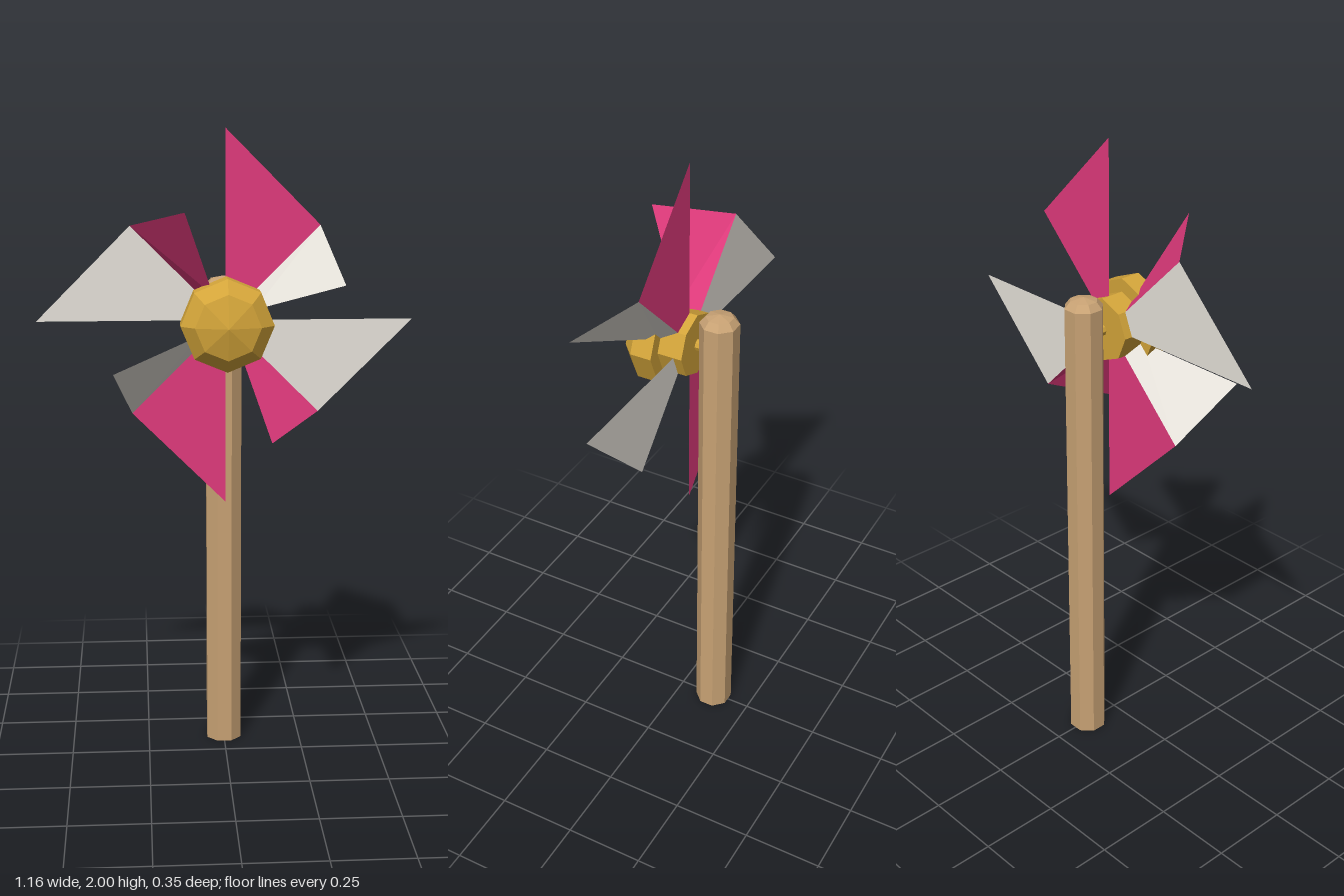
import * as THREE from 'three';

const paint = (color, side = THREE.FrontSide) =>
  new THREE.MeshStandardMaterial({ color, flatShading: true, side });

// Eight-sided turned part; profile is [radius, height] from bottom to top
function turned(name, profile, material) {
  const points = profile.map(([r, h]) => new THREE.Vector2(r, h));
  const mesh = new THREE.Mesh(new THREE.LatheGeometry(points, 8), material);
  mesh.name = name;
  return mesh;
}

// Thin sheet made of a few triangles
function sheet(name, triangles, material) {
  const geometry = new THREE.BufferGeometry();
  geometry.setAttribute('position', new THREE.Float32BufferAttribute(triangles.flat(2), 3));
  geometry.computeVertexNormals();
  const mesh = new THREE.Mesh(geometry, material);
  mesh.name = name;
  return mesh;
}

export function createModel() {
  const model = new THREE.Group();
  model.name = 'pinwheel';
  const wood = paint(0xc8a274);
  const gold = paint(0xd4a53a);
  const pink = paint(0xe03a7c, THREE.DoubleSide);
  const white = paint(0xe6e2da, THREE.DoubleSide);

  // Stick with a shallow domed top
  const stick = turned('stick',
    [[0, 0], [0.06, 0], [0.06, 1.515], [0.042, 1.536], [0, 1.545]], wood);
  stick.rotation.y = Math.PI / 8;
  stick.position.z = -0.12;
  model.add(stick);

  const wheel = new THREE.Group();
  wheel.name = 'wheel';
  wheel.position.y = 1.42;
  model.add(wheel);

  // Hub parts turned around the z axis
  const hub = new THREE.Group();
  hub.name = 'hub';
  hub.rotation.x = Math.PI / 2;
  hub.add(
    turned('axle', [[0, -0.12], [0.018, -0.12], [0.018, 0], [0, 0]], gold),
    turned('hubBack', [[0, -0.047], [0.1, -0.047], [0.1, 0.04], [0, 0.04]], gold),
    turned('hubCap',
      [[0, 0.032], [0.142, 0.032], [0.142, 0.1], [0.1, 0.14], [0, 0.165]], gold),
  );
  wheel.add(hub);

  // Four folded paper vanes: a flat blade and a curled flap showing the other colour
  const centre = [0, 0, -0.02];
  const point = [0, 0.58, -0.02];
  const corner = [0.29, 0.29, -0.02];
  const tip = [0.345, 0.13, 0.177];
  const fold = [0.085, 0.04, 0.04];
  for (let i = 0; i < 4; i++) {
    const vane = new THREE.Group();
    vane.name = 'vane';
    vane.rotation.z = -i * Math.PI / 2;
    const [front, back] = i % 2 ? [white, pink] : [pink, white];
    vane.add(
      sheet('blade', [[centre, corner, point]], front),
      sheet('flap', [[centre, fold, corner], [fold, tip, corner]], back),
    );
    wheel.add(vane);
  }
  return model;
}
